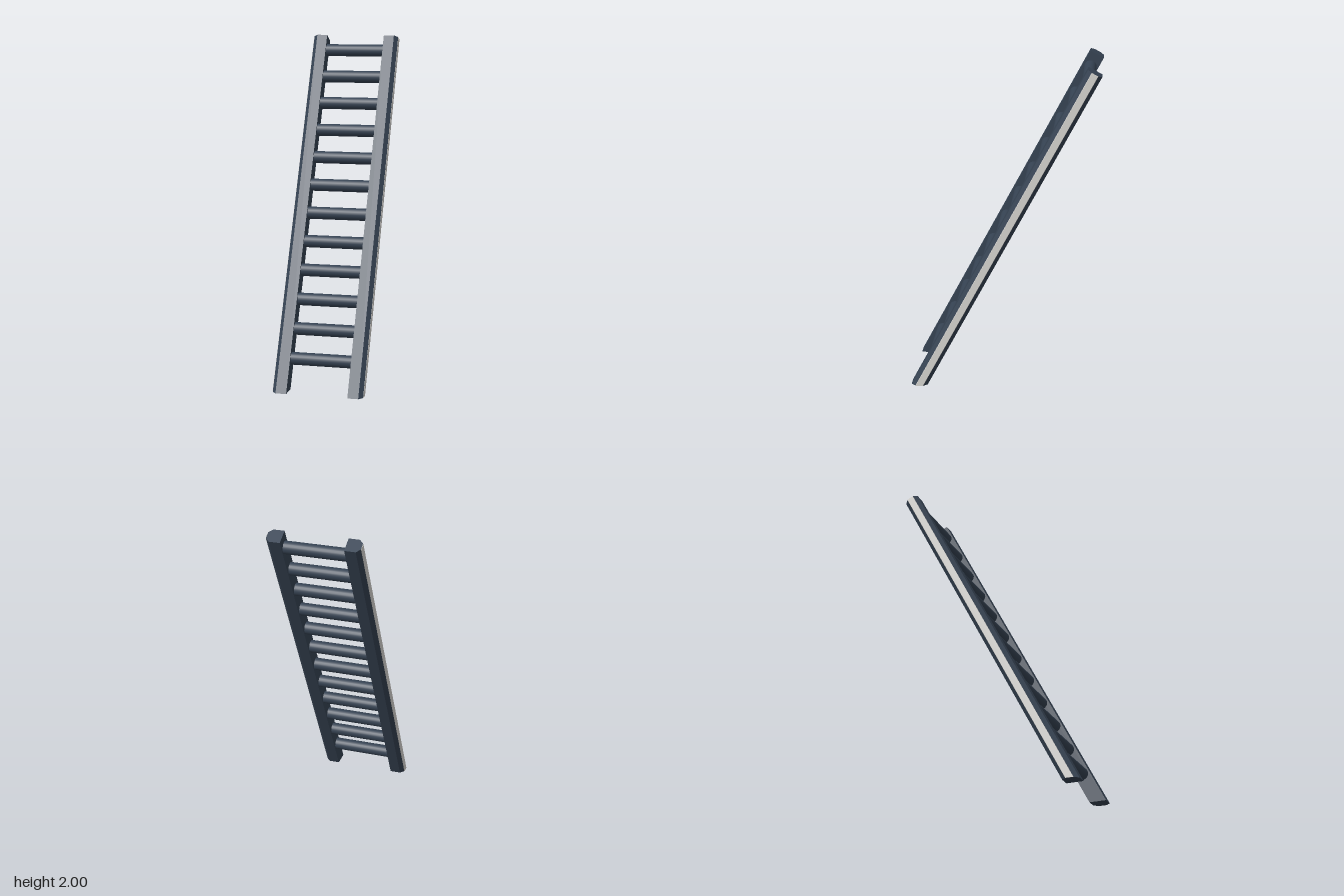
import * as THREE from 'three';

const TILT = Math.atan(0.515);           // lean from vertical
const SIN = Math.sin(TILT), COS = Math.cos(TILT);
const DEPTH = 0.088, INNER = 0.179, OUTER = 0.267, CHAMFER = 0.025;

// Leaning bar from a cross-section of [x, depth from front face]:
// cut level at the floor and square at the top.
function leaningBar(section) {
  const shape = new THREE.Shape(section.map(([x, u]) => new THREE.Vector2(x, u)));
  const geo = new THREE.ExtrudeGeometry(shape, { depth: 1, bevelEnabled: false });
  const p = geo.attributes.position;
  for (let i = 0; i < p.count; i++) {
    const u = p.getY(i);
    if (p.getZ(i) > 0.5) p.setXYZ(i, p.getX(i), 2 - u * SIN, -0.476 - u * COS);
    else p.setXYZ(i, p.getX(i), 0, 0.554 - u / COS);
  }
  geo.computeVertexNormals();
  return geo;
}

export function createModel() {
  const slate = new THREE.MeshStandardMaterial({ color: 0x364353 });
  slate.name = 'darkSlate';
  const pale = new THREE.MeshStandardMaterial({ color: 0xd6d4d0 });
  pale.name = 'paleGrey';

  const ladder = new THREE.Group();
  ladder.name = 'ladder';
  const add = (geo, mat, name) => {
    const mesh = new THREE.Mesh(geo, mat);
    mesh.name = name;
    ladder.add(mesh);
    return mesh;
  };

  // Side rails with chamfered outer edges and a pale strip on the outer face
  const lip = OUTER - 0.002;
  for (const [s, side] of [[1, 'left'], [-1, 'right']]) {
    const mirror = pts => pts.map(([x, u]) => [s * x, u]);
    add(leaningBar(mirror([
      [INNER, 0], [OUTER - CHAMFER, 0], [lip, CHAMFER - 0.002],
      [lip, DEPTH - CHAMFER + 0.002], [OUTER - CHAMFER, DEPTH], [INNER, DEPTH],
    ])), slate, side + 'Rail');
    add(leaningBar(mirror([
      [lip, CHAMFER - 0.002], [OUTER, CHAMFER],
      [OUTER, DEPTH - CHAMFER], [lip, DEPTH - CHAMFER + 0.002],
    ])), pale, side + 'RailStrip');
  }

  // Round rungs along the centre line of the rails
  const rungGeo = new THREE.CylinderGeometry(0.0368, 0.0368, INNER * 2 + 0.01, 24);
  rungGeo.rotateZ(Math.PI / 2);
  for (let i = 0; i < 12; i++) {
    const y = 0.173 + i * 0.1575;
    add(rungGeo, slate, 'rung' + (i + 1)).position.set(0, y, 0.5045 - 0.515 * y);
  }
  return ladder;
}
